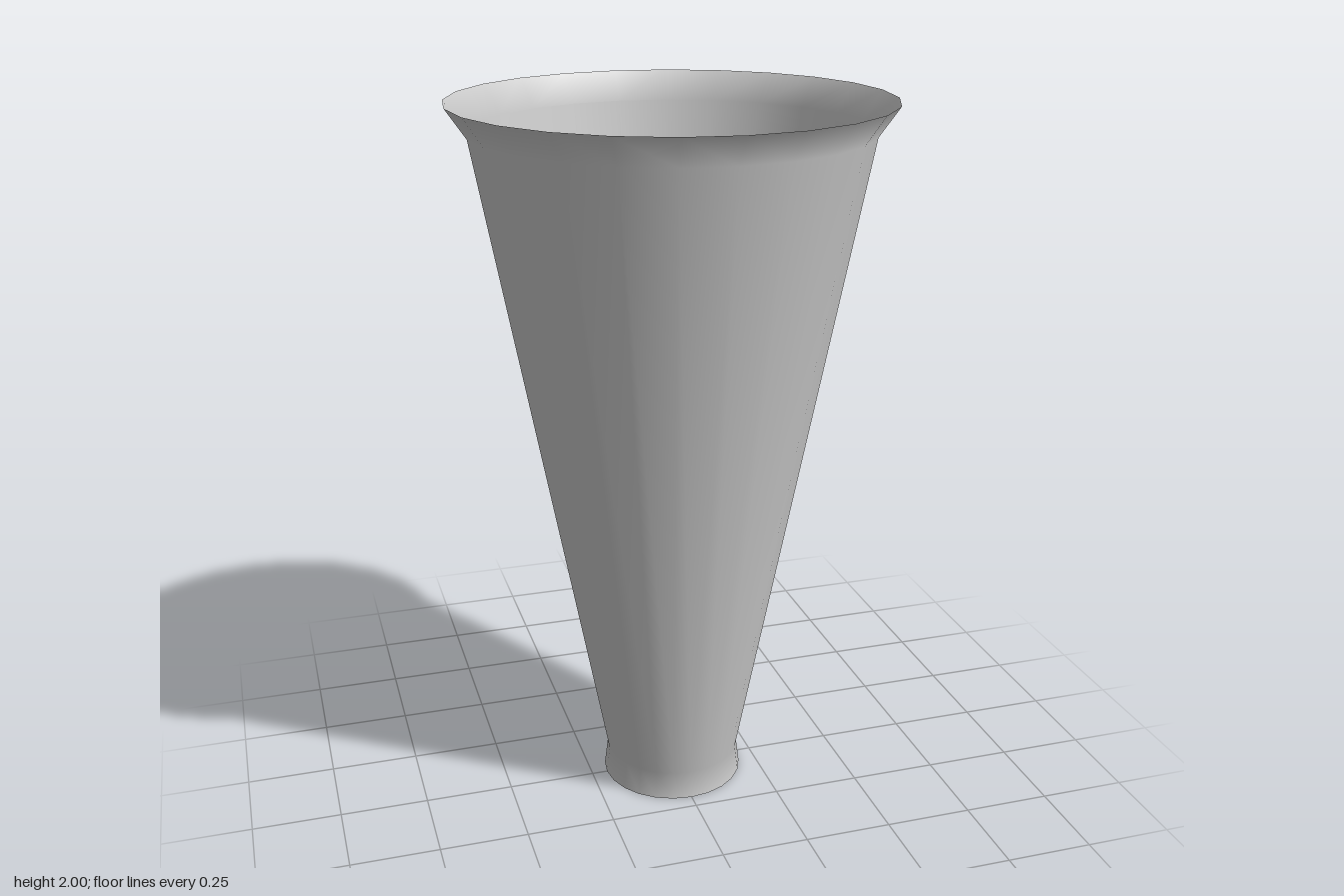
import * as THREE from 'three';

export function createModel() {
  const group = new THREE.Group();
  const material = new THREE.MeshStandardMaterial({ color: 0xcccccc, side: THREE.DoubleSide });

  // Open thin-walled funnel: flared foot, narrow neck, long cone, flared rim
  const profile = [
    [0.205, 0],
    [0.195, 0.08],
    [0.54, 1.92],
    [0.595, 2],
  ].map(([r, y]) => new THREE.Vector2(r, y));

  const funnel = new THREE.Mesh(new THREE.LatheGeometry(profile, 24), material);
  funnel.name = 'funnel';
  group.add(funnel);
  return group;
}
